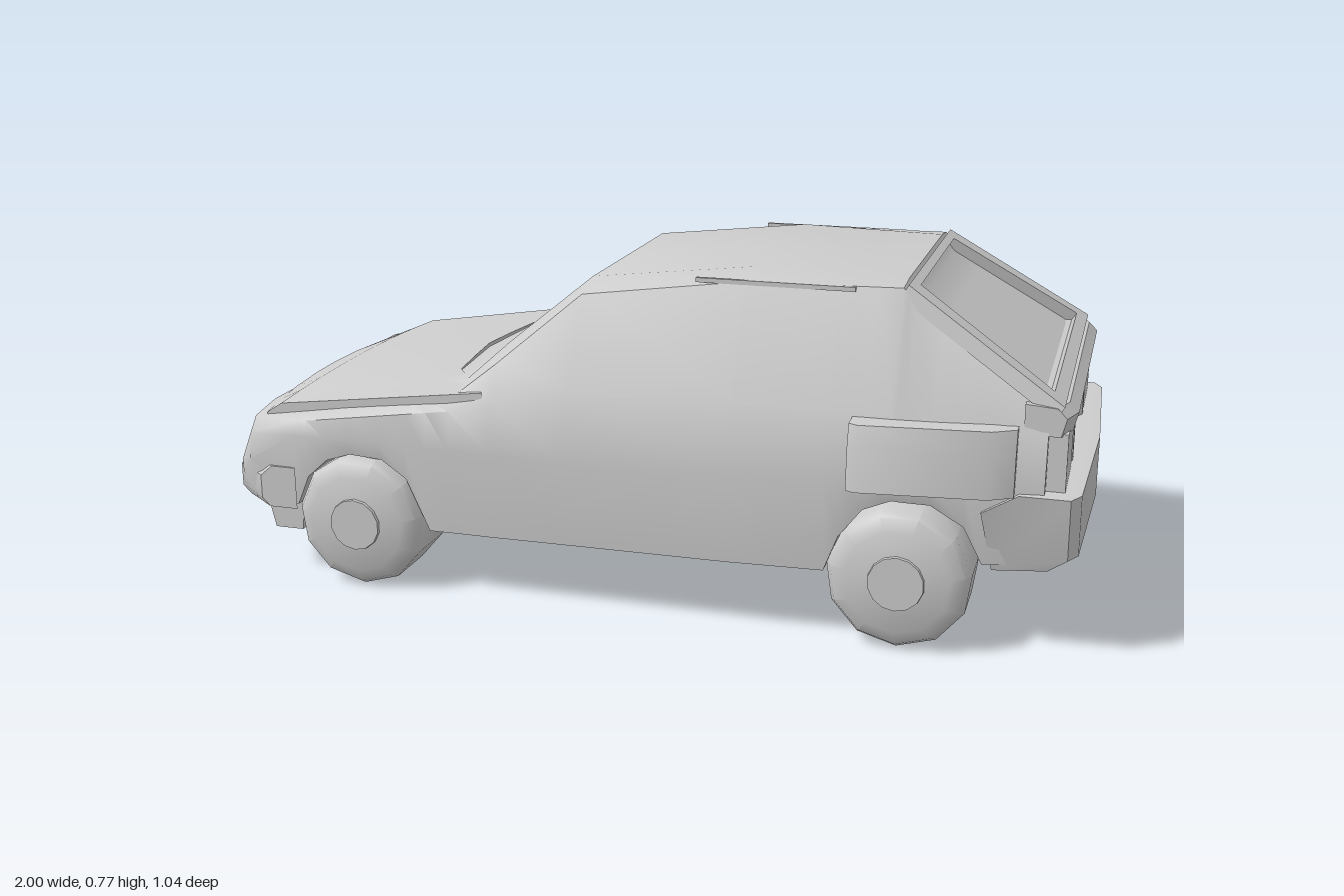
import * as THREE from 'three';
import { toCreasedNormals } from 'three/addons/utils/BufferGeometryUtils.js';

const material = new THREE.MeshStandardMaterial({ color: 0xcccccc });

function add(parent, name, geometry, x = 0, y = 0, z = 0) {
  const mesh = new THREE.Mesh(geometry, material);
  mesh.name = name;
  mesh.position.set(x, y, z);
  parent.add(mesh);
  return mesh;
}

// Skin a list of closed rings of [x, y, z] points and cap both ends.
function loft(rings, crease = 0.6) {
  const n = rings[0].length, last = (rings.length - 1) * n, index = [];
  for (let i = 0; i < rings.length - 1; i++) {
    for (let j = 0; j < n; j++) {
      const k = (j + 1) % n, a = i * n + j, b = i * n + k;
      index.push(a, a + n, b, b, a + n, b + n);
    }
  }
  for (let j = 1; j < n - 1; j++) {
    index.push(0, j, j + 1, last, last + j + 1, last + j);
  }
  const g = new THREE.BufferGeometry();
  g.setAttribute('position', new THREE.Float32BufferAttribute(rings.flat(2), 3));
  g.setIndex(index);
  return toCreasedNormals(g, crease);
}

// Linear interpolation in a table whose first column is x.
function sample(table, x) {
  let i = 0;
  while (i < table.length - 2 && table[i + 1][0] < x) i++;
  const a = table[i], b = table[i + 1];
  const t = THREE.MathUtils.clamp((x - a[0]) / (b[0] - a[0]), 0, 1);
  return a.map((v, k) => v + (b[k] - v) * t);
}

// Body stations: x, sill z, waist y, waist z, belt y, belt z, roof edge y, roof edge z, top y
const BODY = [
  [-0.985, 0.30, 0.21, 0.34, 0.23, 0.34, 0.24, 0.32, 0.25],
  [-0.96, 0.38, 0.23, 0.41, 0.26, 0.41, 0.29, 0.38, 0.31],
  [-0.91, 0.44, 0.28, 0.46, 0.34, 0.45, 0.375, 0.42, 0.39],
  [-0.79, 0.46, 0.35, 0.467, 0.38, 0.455, 0.395, 0.43, 0.41],
  [-0.40, 0.465, 0.35, 0.475, 0.44, 0.465, 0.465, 0.44, 0.485],
  [-0.30, 0.468, 0.35, 0.478, 0.47, 0.462, 0.545, 0.42, 0.575],
  [-0.12, 0.47, 0.35, 0.483, 0.50, 0.455, 0.70, 0.345, 0.725],
  [0.25, 0.475, 0.36, 0.487, 0.51, 0.455, 0.75, 0.34, 0.768],
  [0.59, 0.465, 0.37, 0.478, 0.51, 0.445, 0.755, 0.33, 0.762],
  [0.62, 0.465, 0.37, 0.476, 0.51, 0.443, 0.718, 0.336, 0.72],
  [0.91, 0.42, 0.36, 0.44, 0.48, 0.425, 0.533, 0.405, 0.536],
];

// Lower edge with both wheel arches: x, y
const LOWER = [
  [-0.985, 0.18], [-0.79, 0.18], [-0.76, 0.25], [-0.71, 0.295], [-0.65, 0.315], [-0.57, 0.31],
  [-0.51, 0.27], [-0.455, 0.15], [0.46, 0.16], [0.49, 0.24], [0.54, 0.305], [0.60, 0.33],
  [0.68, 0.325], [0.75, 0.28], [0.79, 0.20], [0.91, 0.20],
];

function bodyShell() {
  const xs = [...new Set([...BODY, ...LOWER].map((r) => r[0]))].sort((a, b) => a - b);
  return loft(xs.map((x) => {
    const [, zs, yw, zw, yb, zb, yr, zr, yt] = sample(BODY, x);
    const low = sample(LOWER, x)[1];
    const half = [[low, zs], [yw, zw], [yb, zb], [yr, zr], [yt, zr * 0.78]];
    return [
      [x, low, 0], ...half.map(([y, z]) => [x, y, z]), [x, yt, 0],
      ...half.slice().reverse().map(([y, z]) => [x, y, -z]),
    ];
  }), 0.7);
}

// Bonnet slab with a swept rear edge
function bonnet() {
  return loft([-1, -0.78, -0.55, -0.25, 0, 0.25, 0.55, 0.78, 1].map((t) => {
    const s = Math.abs(t);
    const front = -0.91 + 0.035 * s * s;
    const rear = s > 0.55 ? -0.46 + (s - 0.55) / 0.45 * 0.14 : -0.49 + s * 0.055;
    const drop = 0.015 * s * s;
    const top = (x) => 0.49 + (x + 0.4) * 0.145 - drop;
    const wide = (x) => t * (0.42 + (x + 0.9) * 0.06);
    return [
      [front, 0.385 - drop, 0.42 * t], [front - 0.005, 0.40 - drop, 0.42 * t],
      [-0.84, top(-0.84), wide(-0.84)], [rear, top(rear), wide(rear)],
      [rear, top(rear) - 0.03, wide(rear)], [-0.84, top(-0.84) - 0.03, wide(-0.84)],
    ];
  }));
}

// Frame around the sunken rear window
function rearWindowFrame() {
  const trapezoid = (path, v0, w0, v1, w1) => {
    path.moveTo(-w0, v0).lineTo(w0, v0).lineTo(w1, v1).lineTo(-w1, v1).closePath();
    return path;
  };
  const shape = trapezoid(new THREE.Shape(), 0, 0.33, 0.40, 0.42);
  shape.holes.push(trapezoid(new THREE.Path(), 0.02, 0.27, 0.37, 0.36));
  const g = new THREE.ExtrudeGeometry(shape, { depth: 0.035, bevelEnabled: false });
  g.translate(0, 0, -0.035);
  const slope = new THREE.Vector3(0.847, -0.532, 0), up = new THREE.Vector3(0.532, 0.847, 0);
  const m = new THREE.Matrix4().makeBasis(new THREE.Vector3(0, 0, 1), slope, up);
  return g.applyMatrix4(m.setPosition(0.6, 0.762, 0));
}

function wheel(x, side) {
  const group = new THREE.Group();
  group.name = (x < 0 ? 'front' : 'rear') + 'Wheel';
  const profile = [[0, -0.095], [0.10, -0.095], [0.14, -0.085], [0.157, -0.07],
    [0.157, 0.06], [0.145, 0.08], [0.115, 0.095], [0, 0.095]];
  const tyre = new THREE.LatheGeometry(profile.map((p) => new THREE.Vector2(...p)), 11);
  add(group, 'tyre', toCreasedNormals(tyre, 0.65));
  add(group, 'hubCap', new THREE.CylinderGeometry(0.06, 0.062, 0.012, 14), 0, 0.096, 0);
  add(group, 'stubAxle', new THREE.CylinderGeometry(0.025, 0.025, 0.1, 8), 0, -0.13, 0);
  group.rotation.x = side * Math.PI / 2;
  group.position.set(x, 0.157, side * 0.395);
  return group;
}

export function createModel() {
  const car = new THREE.Group();
  car.name = 'hatchback';
  add(car, 'bodyShell', bodyShell());
  add(car, 'bonnet', bonnet());
  add(car, 'rearWindowFrame', rearWindowFrame());

  // Front bumper wraps round the nose, with a spoiler below
  const noseZ = [[-0.468, -0.88], [-0.40, -0.97], [-0.22, -1], [0.22, -1], [0.40, -0.97], [0.468, -0.88]];
  add(car, 'frontBumper', loft(noseZ.map(([z, x]) => [
    [x + 0.02, 0.17, z], [x, 0.19, z], [x, 0.245, z], [x + 0.03, 0.27, z], [x + 0.09, 0.27, z], [x + 0.09, 0.17, z],
  ])));
  add(car, 'frontSpoiler', loft([-0.43, -0.3, 0.3, 0.43].map((z) => {
    const back = Math.abs(z) > 0.4 ? 0.04 : 0;
    return [[-0.91 + back, 0.105, z], [-0.93 + back, 0.19, z], [-0.79, 0.19, z], [-0.80, 0.105, z]];
  })));

  // Rear bumper with turned-in ends
  add(car, 'rearBumper', loft([[-0.46, 0.965], [-0.42, 0.985], [0, 1], [0.42, 0.985], [0.46, 0.965]].map(([z, x]) => [
    [0.81, 0.185, z * 0.93], [0.785, 0.32, z], [0.86, 0.365, z],
    [x, 0.365, z], [x, 0.225, z * 0.95], [x - 0.04, 0.195, z * 0.93],
  ])));

  // Tail ledge and lamps
  add(car, 'tailgateLedge', loft([-0.42, -0.36, 0.36, 0.42].map((z) => {
    const x = Math.abs(z) > 0.4 ? 0.945 : 0.965;
    return [[0.86, 0.485, z], [0.86, 0.55, z], [x - 0.02, 0.545, z], [x, 0.525, z], [x - 0.01, 0.485, z]];
  })));
  for (const side of [-1, 1]) {
    add(car, 'tailLamp', new THREE.BoxGeometry(0.07, 0.13, 0.185), 0.915, 0.425, side * 0.32);
    add(car, 'innerLamp', new THREE.CylinderGeometry(0.047, 0.047, 0.13, 14), 0.905, 0.425, side * 0.18);

    // Raised panel over each rear wheel
    const outer = [[0.51, 0.51], [0.53, 0.52], [0.80, 0.49], [0.85, 0.46]];
    add(car, 'rearSidePanel', loft(outer.map(([x, z]) => {
      const ring = [[x, 0.355, 0.40], [x, 0.36, z], [x, 0.45, z - 0.006], [x, 0.50, z - 0.02], [x, 0.505, 0.40]];
      return side > 0 ? ring : ring.reverse().map(([a, b, c]) => [a, b, -c]);
    })));

    // Roof gutter
    add(car, 'roofGutter', new THREE.BoxGeometry(0.35, 0.01, 0.01), 0.315, 0.748, side * 0.338);

    // Running gear
    add(car, 'trailingArm', new THREE.BoxGeometry(0.4, 0.03, 0.045), 0.43, 0.15, side * 0.26);
    add(car, 'frontLink', new THREE.BoxGeometry(0.32, 0.02, 0.04), -0.64, 0.15, side * 0.25);
    car.add(wheel(-0.63, side), wheel(0.62, side));
  }
  add(car, 'frontCrossmember', new THREE.BoxGeometry(0.06, 0.03, 0.56), -0.56, 0.15, 0);
  return car;
}
